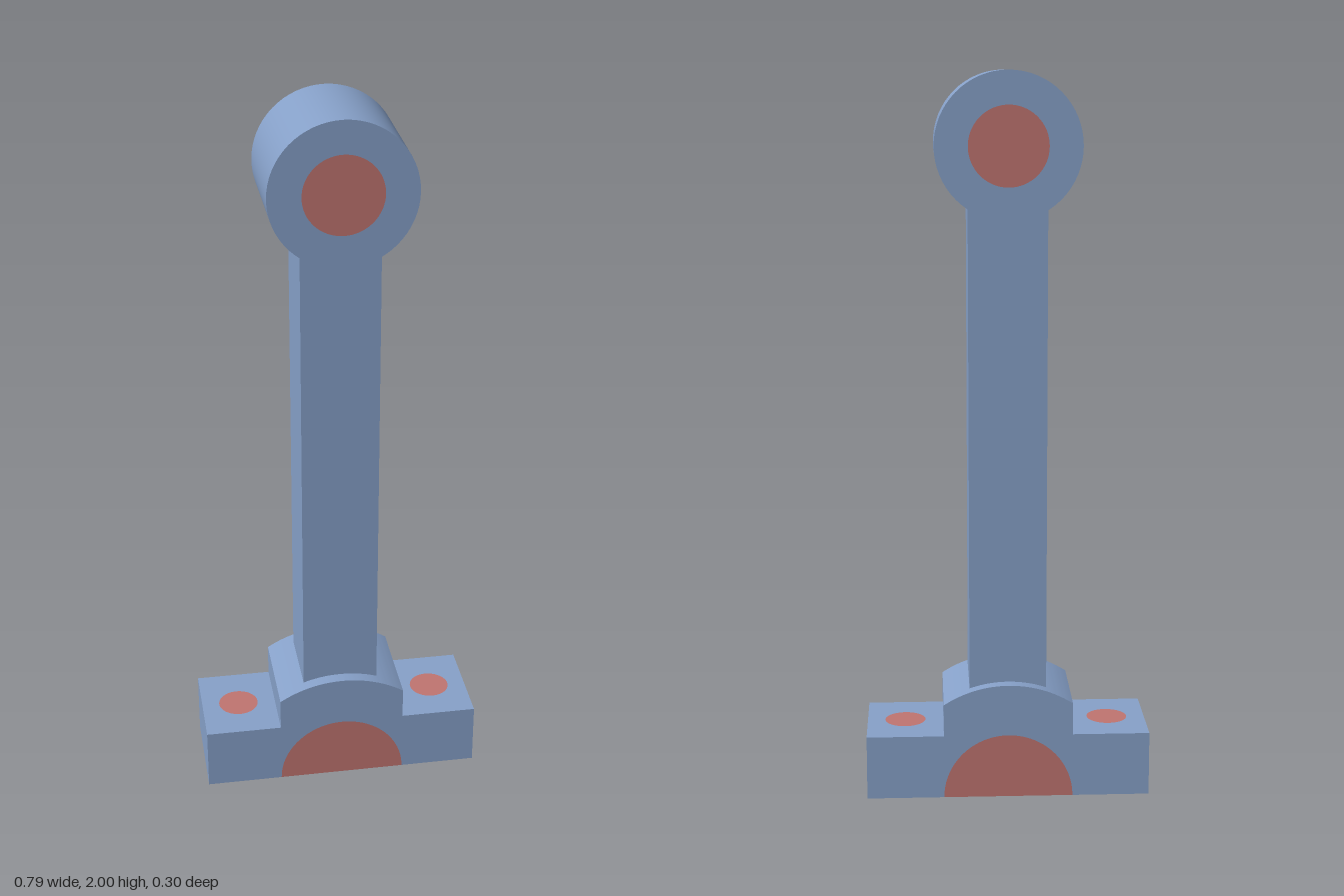
import * as THREE from 'three';
import { toCreasedNormals } from 'three/addons/utils/BufferGeometryUtils.js';

const steel = new THREE.MeshStandardMaterial({ color: 0x86a0c8 });
steel.name = 'steelBlue';
const bore = new THREE.MeshStandardMaterial({ color: 0xbf7470 });
bore.name = 'boreRed';

const EYE_Y = 1.804, EYE_R = 0.196, EYE_D = 0.304, PIN_R = 0.107;
const ROD_W = 0.214;
const BASE_W = 0.395, BASE_H = 0.18, BASE_D = 0.284;
const BORE_R = 0.18, CAP_R = 0.325;
const BOLT_X = 0.288, BOLT_R = 0.057;

// Extrusion centred on z, smooth on curves and sharp on edges
function extrude(shape, depth) {
  const geo = new THREE.ExtrudeGeometry(shape, { depth, bevelEnabled: false, curveSegments: 32 });
  geo.translate(0, 0, -depth / 2);
  return toCreasedNormals(geo, 0.5);
}

function circleHole(x, y, r) {
  return new THREE.Path().absarc(x, y, r, 0, Math.PI * 2, true);
}

export function createModel() {
  const model = new THREE.Group();
  model.name = 'connectingRod';
  const add = (name, geo, mat, x = 0, y = 0, z = 0) => {
    const mesh = new THREE.Mesh(geo, mat);
    mesh.name = name;
    mesh.position.set(x, y, z);
    model.add(mesh);
    return mesh;
  };

  // Small end: ring with a flush bore plug
  const ring = new THREE.Shape().absarc(0, 0, EYE_R, 0, Math.PI * 2, false);
  ring.holes.push(circleHole(0, 0, PIN_R));
  add('smallEndRing', extrude(ring, EYE_D), steel, 0, EYE_Y);
  const pin = new THREE.CylinderGeometry(PIN_R, PIN_R, EYE_D, 64).rotateX(Math.PI / 2);
  add('smallEndBore', pin, bore, 0, EYE_Y);

  // Square shank, its ends sunk into the ring and the saddle
  const y0 = 0.3, y1 = 1.65;
  add('shank', new THREE.BoxGeometry(ROD_W, y1 - y0, ROD_W), steel, 0, (y0 + y1) / 2);

  // Big end: domed saddle over a half-round bore
  const a = Math.acos(BORE_R / CAP_R);
  const saddle = new THREE.Shape();
  saddle.moveTo(BORE_R, 0);
  saddle.lineTo(BORE_R, CAP_R * Math.sin(a));
  saddle.absarc(0, 0, CAP_R, a, Math.PI - a, false);
  saddle.lineTo(-BORE_R, 0);
  saddle.absarc(0, 0, BORE_R, Math.PI, 0, true);
  add('bigEndSaddle', extrude(saddle, BASE_D), steel);
  const half = new THREE.Shape().absarc(0, 0, BORE_R, 0, Math.PI, false);
  half.closePath();
  add('bigEndBore', extrude(half, BASE_D), bore);

  // Bolt lugs on both sides, each with a flush bolt hole plug
  for (const [side, s] of [['left', 1], ['right', -1]]) {
    const mid = s * (BORE_R + BASE_W) / 2, hw = (BASE_W - BORE_R) / 2, hd = BASE_D / 2;
    const lug = new THREE.Shape();
    lug.moveTo(mid - hw, -hd);
    lug.lineTo(mid + hw, -hd);
    lug.lineTo(mid + hw, hd);
    lug.lineTo(mid - hw, hd);
    lug.closePath();
    lug.holes.push(circleHole(s * BOLT_X, 0, BOLT_R));
    add(side + 'Lug', extrude(lug, BASE_H).rotateX(-Math.PI / 2), steel, 0, BASE_H / 2);
    add(side + 'BoltHole', new THREE.CylinderGeometry(BOLT_R, BOLT_R, BASE_H, 64), bore, s * BOLT_X, BASE_H / 2);
  }
  return model;
}
